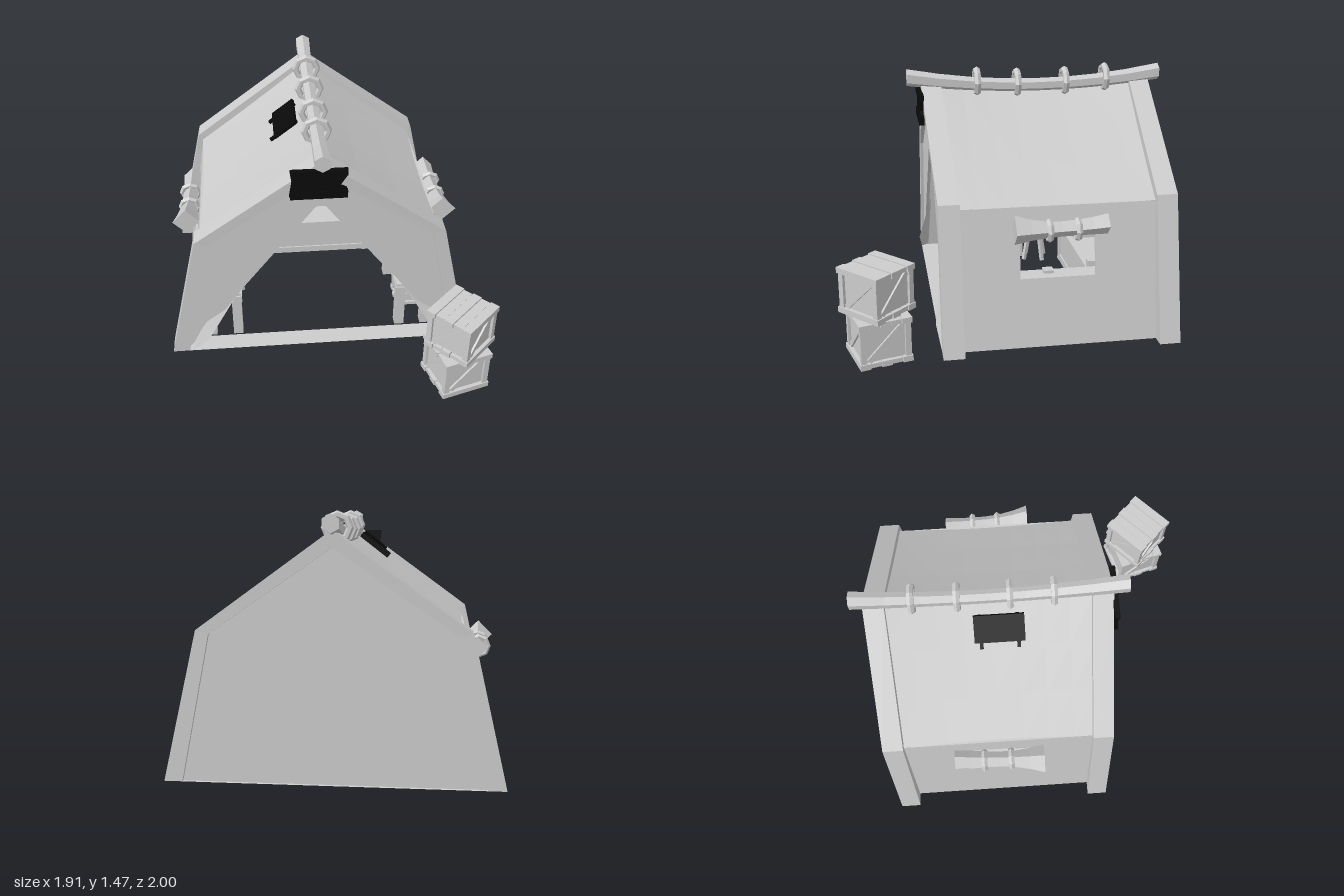
import * as THREE from 'three';
import { ConvexGeometry } from 'three/addons/geometries/ConvexGeometry.js';

const grey = new THREE.MeshStandardMaterial({ color: 0xcccccc, flatShading: true, side: THREE.DoubleSide });
const smooth = new THREE.MeshStandardMaterial({ color: 0xcccccc });
const black = new THREE.MeshStandardMaterial({ color: 0x0a0a0a });

const V2 = (p) => p.map(([x, y]) => new THREE.Vector2(x, y));

function add(parent, name, geo, x = 0, y = 0, z = 0, mat = grey) {
  const m = new THREE.Mesh(geo, mat);
  m.name = name;
  m.position.set(x, y, z);
  parent.add(m);
  return m;
}
const box = (parent, name, w, h, d, x, y, z, mat) => add(parent, name, new THREE.BoxGeometry(w, h, d), x, y, z, mat);

// Move every vertex of a geometry by a rule
function warp(geo, rule) {
  const p = geo.attributes.position, v = new THREE.Vector3();
  for (let i = 0; i < p.count; i++) {
    rule(v.fromBufferAttribute(p, i));
    p.setXYZ(i, v.x, v.y, v.z);
  }
  geo.computeVertexNormals();
  return geo;
}

function extrude(points, depth, holes = []) {
  const s = new THREE.Shape(V2(points));
  holes.forEach((h) => s.holes.push(new THREE.Path(V2(h))));
  return new THREE.ExtrudeGeometry(s, { depth, bevelEnabled: false });
}

const OUTER = [[-0.92, 0.01], [-0.73, 0.84], [0, 1.37], [0.73, 0.84], [0.92, 0.01]];
const INNER = [[0.82, 0.01], [0.66, 0.82], [0, 1.28], [-0.66, 0.82], [-0.82, 0.01]];
const WALL = [[-0.83, 0.01], [-0.67, 0.83], [0, 1.3], [0.67, 0.83], [0.83, 0.01]];

// Wooden crate with planked lid and base, corner posts and diagonal braces
function crate(name, s, h) {
  const g = new THREE.Group();
  g.name = name;
  const t = s * 0.1, w = s / 5, mid = h - 2 * t;
  box(g, 'crateBody', s * 0.84, mid, s * 0.84, 0, h / 2, 0, smooth);
  for (let i = 0; i < 5; i++) {
    for (const [y, up] of [[t / 2, 0], [h - t / 2, 1]])
      box(g, 'cratePlank', s - 0.012 * (i % 2), t * (i % 2 ? 0.85 : 1.1), w * 0.95, 0, y, (i - 2) * w);
  }
  for (let i = 0; i < 4; i++) {
    const side = new THREE.Group();
    side.name = 'crateSide';
    side.rotation.y = i * Math.PI / 2;
    g.add(side);
    box(side, 'cratePost', t * 1.1, mid, t * 1.1, s * 0.42, h / 2, s * 0.42);
    const run = s * 0.7;
    const brace = box(side, 'crateBrace', Math.hypot(run, mid) * 0.92, t, t * 0.5, 0, h / 2, s * 0.435);
    brace.rotation.z = Math.atan2(mid, run);
  }
  return g;
}

function stool(parent, x, z) {
  const g = new THREE.Group();
  g.name = 'stool';
  g.position.set(x, 0, z);
  parent.add(g);
  add(g, 'stoolSeat', new THREE.CylinderGeometry(0.085, 0.08, 0.03, 10), 0, 0.21, 0);
  for (let i = 0; i < 4; i++) {
    const arm = new THREE.Group();
    arm.rotation.y = i * Math.PI / 2 + 0.5;
    g.add(arm);
    box(arm, 'stoolLeg', 0.022, 0.2, 0.022, 0.07, 0.105, 0).rotation.z = 0.2;
  }
}

export function createModel() {
  const model = new THREE.Group();
  model.name = 'tentWorkshop';
  const tent = new THREE.Group();
  tent.name = 'tent';
  tent.position.x = -0.04;
  model.add(tent);

  // End frames, leaning outward a little towards the ridge
  for (const [name, z, dir] of [['frontFrame', 0.32, 1], ['backFrame', -0.91, -1]])
    add(tent, name, warp(extrude(OUTER, 0.12, [INNER]), (v) => { v.z += dir * 0.025 * Math.max(0, v.y - 0.84) / 0.5; }), 0, 0, z);

  // End walls: closed at the back, a triangular doorway at the front
  add(tent, 'backWall', extrude(WALL, 0.02), 0, 0, -0.89);
  add(tent, 'frontWall', extrude([...WALL, [0.62, 0.26], [0.46, 0.487], [0, 1.08], [-0.46, 0.487], [-0.62, 0.26]], 0.02), 0, 0, 0.4);

  // Halves shared by both sides of the tent
  for (const s of [1, -1]) {
    const half = new THREE.Group();
    half.name = s > 0 ? 'leftHalf' : 'rightHalf';
    half.scale.x = s;
    tent.add(half);

    // Sagging roof sheet
    add(half, 'roof', warp(new THREE.BoxGeometry(1, 0.03, 1.2, 3, 1, 8), (v) => {
      const u = v.x + 0.5, t = v.z / 0.6;
      v.x = 0.705 * u;
      v.y += 1.325 - 0.535 * u - (1 - t * t) * (0.035 - 0.02 * u) - 0.03 * u * (1 - u);
      v.z -= 0.235;
    }));

    // Leaning side wall with a window
    const wall = extrude([[-0.38, 0.01], [0.85, 0.01], [0.85, 0.8], [-0.38, 0.8]], 0.02,
      [[[0.01, 0.4], [0.01, 0.69], [0.44, 0.69], [0.44, 0.4]]]);
    wall.rotateY(Math.PI / 2);
    add(half, 'sideWall', warp(wall, (v) => { v.x += 0.825 - 0.175 * v.y; }));

    // Rolled window blind and its ties
    const roll = new THREE.CylinderGeometry(1, 1, 0.53, 4, 6);
    roll.rotateX(Math.PI / 2);
    add(half, 'windowBlind', warp(roll, (v) => {
      const t = v.z / 0.265, r = 0.045 + (t > 0 ? 0.04 : 0.015) * t * t;
      v.x = v.x * r + 0.015 * t;
      v.y = v.y * r + 0.012 * t * t;
    }), 0.785, 0.69, -0.235);
    for (const z of [-0.165, -0.325])
      add(half, 'blindTie', new THREE.TorusGeometry(0.052, 0.018, 5, 8), 0.785, 0.685, z);

    // Folded door flap
    add(half, 'doorFlap', new ConvexGeometry([
      [0.46, 0.487, 0.39], [0.83, 0.01, 0.39], [0.8, 0.01, 0.44], [0.69, 0.12, 0.462], [0.62, 0.25, 0.41], [0.7, 0.25, 0.41],
    ].map((p) => new THREE.Vector3(...p))));

    // Counter along the wall
    box(half, 'counterTop', 0.24, 0.045, 1.1, 0.6, 0.3, -0.23);
    for (const z of [0.28, -0.22, -0.72])
      for (const x of [0.515, 0.68]) box(half, 'counterLeg', 0.06, 0.33, 0.06, x, 0.175, z);
  }

  // Sagging ridge pole with rope rings
  const sag = (z) => 1.34 + 0.115 * ((z + 0.23) / 0.775) ** 2 * 0.55;
  const pole = new THREE.CylinderGeometry(0.046, 0.046, 1.55, 6, 8);
  pole.rotateX(Math.PI / 2);
  add(tent, 'ridgePole', warp(pole, (v) => {
    const k = 0.85 + 0.25 * (v.z / 0.775) ** 2;
    v.x *= k;
    v.z -= 0.225;
    v.y = v.y * k + sag(v.z);
  }));
  for (const z of [0.13, -0.115, -0.41, -0.66])
    add(tent, 'ropeRing', new THREE.TorusGeometry(0.07, 0.021, 6, 8), 0, sag(z) + 0.015, z);

  // Dark sign board above the doorway
  const sign = new THREE.Group();
  sign.name = 'doorSign';
  model.add(sign);
  add(sign, 'signBoard', extrude([[-0.22, 1.16], [0.1, 1.16], [0.1, 1.2], [0.06, 1.22], [0.105, 1.29], [0.105, 1.325], [-0.215, 1.325], [-0.205, 1.25]], 0.02), 0, 0, 0.462, black);
  box(sign, 'signRail', 0.32, 0.045, 0.03, -0.055, 1.167, 0.475, black);
  box(sign, 'signRail', 0.31, 0.035, 0.03, -0.05, 1.307, 0.475, black);

  // Dark hatch on the roof slope
  const hatch = new THREE.Group();
  hatch.name = 'roofHatch';
  hatch.position.set(-0.21, 1.28, -0.185);
  hatch.rotation.z = 0.66;
  model.add(hatch);
  box(hatch, 'hatchBoard', 0.16, 0.02, 0.285, 0, 0, 0, black);
  for (const z of [-0.105, 0.105]) box(hatch, 'hatchArm', 0.2, 0.018, 0.02, -0.02, -0.012, z, black);

  // Storage bin against the back wall
  const bin = new THREE.Group();
  bin.name = 'storageBin';
  bin.position.set(0, 0, -0.67);
  tent.add(bin);
  for (const z of [-0.16, 0.16]) {
    box(bin, 'binPanel', 0.74, 0.2, 0.02, 0, 0.14, z, smooth);
    for (const y of [0.035, 0.245]) box(bin, 'binRail', 0.76, 0.045, 0.04, 0, y, z);
    for (const x of [-0.395, 0.395]) box(bin, 'binPost', 0.045, 0.32, 0.045, x, 0.17, z);
  }
  for (const x of [-0.38, 0.38]) box(bin, 'binEnd', 0.02, 0.23, 0.32, x, 0.14, 0);
  box(bin, 'binFilling', 0.74, 0.02, 0.31, 0, 0.16, 0);

  // Stools and things on the counters
  stool(model, -0.6, -0.08);
  stool(model, -0.52, -0.33);
  add(model, 'pot', new THREE.SphereGeometry(0.08, 16, 12), -0.64, 0.4, 0.12, smooth);
  box(model, 'toolBox', 0.14, 0.17, 0.12, -0.62, 0.405, -0.08);
  box(model, 'toolBoxPost', 0.03, 0.22, 0.03, -0.62, 0.43, -0.155);
  box(model, 'viseBase', 0.07, 0.2, 0.07, -0.62, 0.42, -0.275);
  box(model, 'viseJaw', 0.1, 0.015, 0.12, -0.62, 0.465, -0.275);
  add(model, 'viseHead', new THREE.CylinderGeometry(0.035, 0.025, 0.1, 8), -0.62, 0.57, -0.275);
  for (let i = 0; i < 4; i++) box(model, 'shelfSlat', 0.14, 0.02, 0.06, -0.62, 0.345, -0.45 - i * 0.1);

  // Crates: one under the counter, two stacked outside
  for (const [name, s, h, x, y, z, turn] of [
    ['counterCrate', 0.2, 0.2, 0.58, 0.0, 0.02, 0],
    ['lowerCrate', 0.3, 0.26, 0.735, 0.005, 0.785, 0.28],
    ['upperCrate', 0.3, 0.26, 0.743, 0.28, 0.785, 0.77],
  ]) {
    const c = crate(name, s, h);
    c.position.set(x, y, z);
    c.rotation.y = turn;
    model.add(c);
  }
  return model;
}
